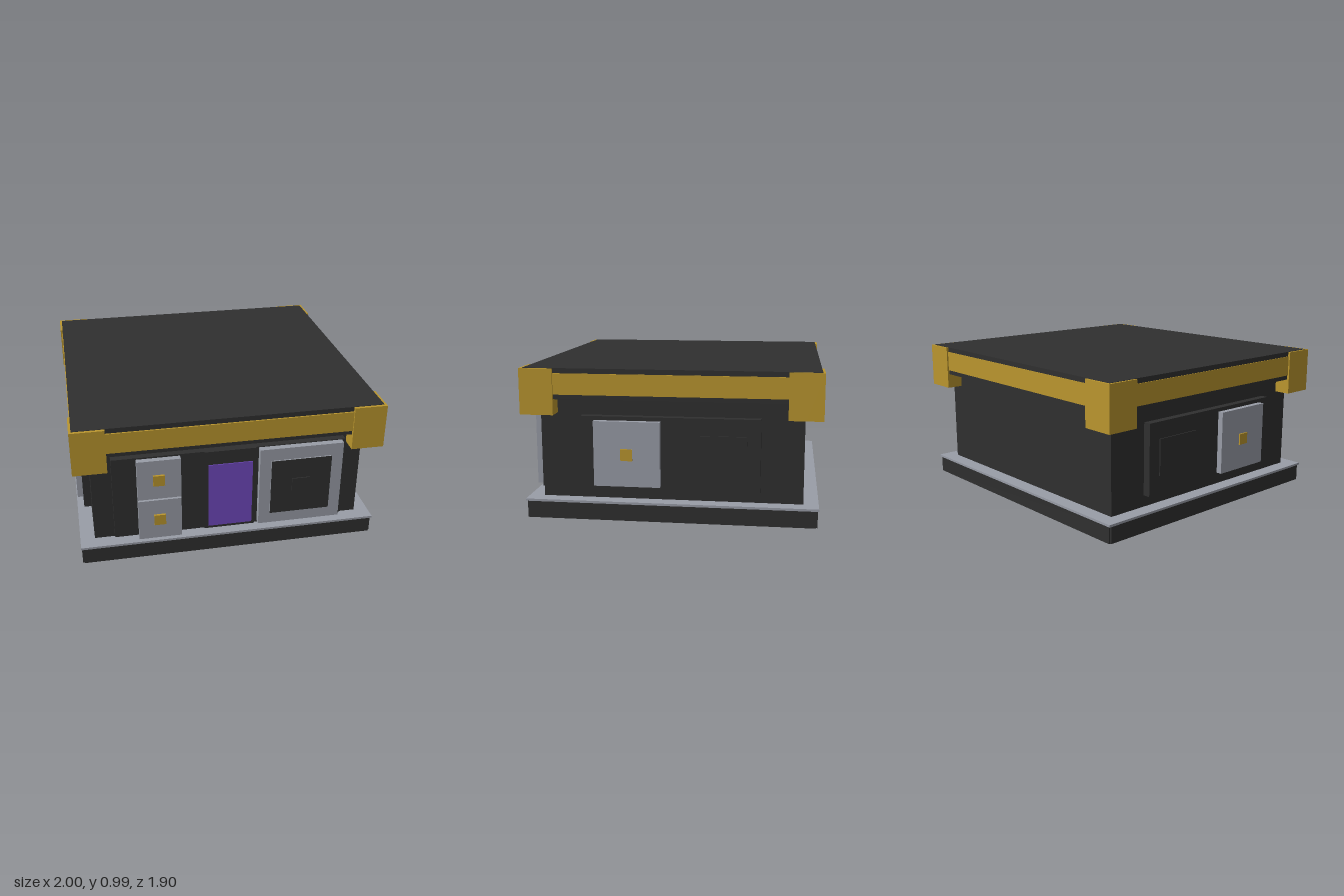
import * as THREE from 'three';

const mat = (name, color) => {
  const m = new THREE.MeshStandardMaterial({ color });
  m.name = name;
  return m;
};

export function createModel() {
  const charcoal = mat('charcoal', 0x2f2f2f);
  const gold = mat('gold', 0xba962e);
  const grey = mat('steel grey', 0x999da7);
  const purple = mat('purple', 0x7049bd);

  const model = new THREE.Group();
  model.name = 'cabinet';

  // Box given by its min and max on each axis
  const box = (name, m, [x0, x1], [y0, y1], [z0, z1], parent = model) => {
    const mesh = new THREE.Mesh(new THREE.BoxGeometry(x1 - x0, y1 - y0, z1 - z0), m);
    mesh.position.set((x0 + x1) / 2, (y0 + y1) / 2, (z0 + z1) / 2);
    mesh.name = name;
    parent.add(mesh);
    return mesh;
  };
  // Range mirrored when s is -1
  const side = (s, a, b) => (s > 0 ? [a, b] : [-b, -a]);

  // Main body, ledge and top slab
  box('body', charcoal, [-0.89, 0.89], [0, 0.8], [-0.84, 0.84]);
  box('ledge', grey, [-0.985, 0.985], [0.12, 0.135], [-0.937, 0.937]);
  box('topSlab', charcoal, [-0.985, 0.985], [0.79, 0.987], [-0.935, 0.93]);

  for (const s of [1, -1]) {
    // Thin skirting boards, open underneath
    box('skirtBoard', charcoal, [-0.97, 0.97], [0.01, 0.118], side(s, 0.91, 0.93));
    box('skirtBoard', charcoal, side(s, 0.96, 0.98), [0.01, 0.118], [-0.92, 0.92]);

    // Gold band around the slab
    box('goldBand', gold, [-0.8, 0.8], [0.82, 0.955], side(s, 0.9, 0.94));
    box('goldBand', gold, side(s, 0.95, 0.99), [0.82, 0.955], [-0.75, 0.75]);

    // Gold corner brackets, each an L wrapped around the body
    for (const t of [1, -1]) {
      const bracket = new THREE.Group();
      bracket.name = 'cornerBracket';
      model.add(bracket);
      box('bracketFront', gold, side(s, 0.785, 1), [0.69, 0.985], side(t, 0.84, 0.95), bracket);
      box('bracketSide', gold, side(s, 0.89, 1), [0.69, 0.985], side(t, 0.735, 0.84), bracket);
    }

    // Side panel with a door, knob and raised plate
    box('sidePanel', charcoal, side(s, 0.88, 0.94), [0.21, 0.68], [-0.57, 0.575]);
    box('sideDoor', grey, side(s, 0.93, 0.978), [0.235, 0.655], [0.06, 0.485]);
    box('sideKnob', gold, side(s, 0.97, 0.988), [0.405, 0.48], [0.235, 0.31]);
    box('sidePlate', charcoal, side(s, 0.93, 0.948), [0.33, 0.57], [-0.485, -0.155]);
  }

  // Front panels
  box('frontPanelRight', charcoal, [-0.76, -0.17], [0.16, 0.74], [0.83, 0.89]);
  box('frontPanelLeft', charcoal, [0.165, 0.76], [0.16, 0.74], [0.83, 0.89]);
  box('frontPanelCentre', charcoal, [-0.17, 0.165], [0.16, 0.74], [0.83, 0.9]);
  box('purpleInset', purple, [-0.145, 0.145], [0.18, 0.645], [0.898, 0.906]);

  // Two drawers with square knobs
  for (const [y0, y1, k] of [[0.15, 0.438, 0.295], [0.45, 0.73, 0.59]]) {
    box('drawer', grey, [-0.605, -0.325], [y0, y1], [0.84, 0.928]);
    box('drawerKnob', gold, [-0.505, -0.43], [k - 0.037, k + 0.037], [0.92, 0.943]);
  }

  // Large front door with a dark window and handle
  box('frontDoor', grey, [0.185, 0.738], [0.175, 0.735], [0.88, 0.932]);
  box('windowMount', grey, [0.26, 0.66], [0.255, 0.65], [0.925, 0.94]);
  box('windowPane', charcoal, [0.26, 0.66], [0.255, 0.65], [0.94, 0.942]);
  box('doorHandle', charcoal, [0.4, 0.52], [0.39, 0.51], [0.94, 0.949]);

  return model;
}
